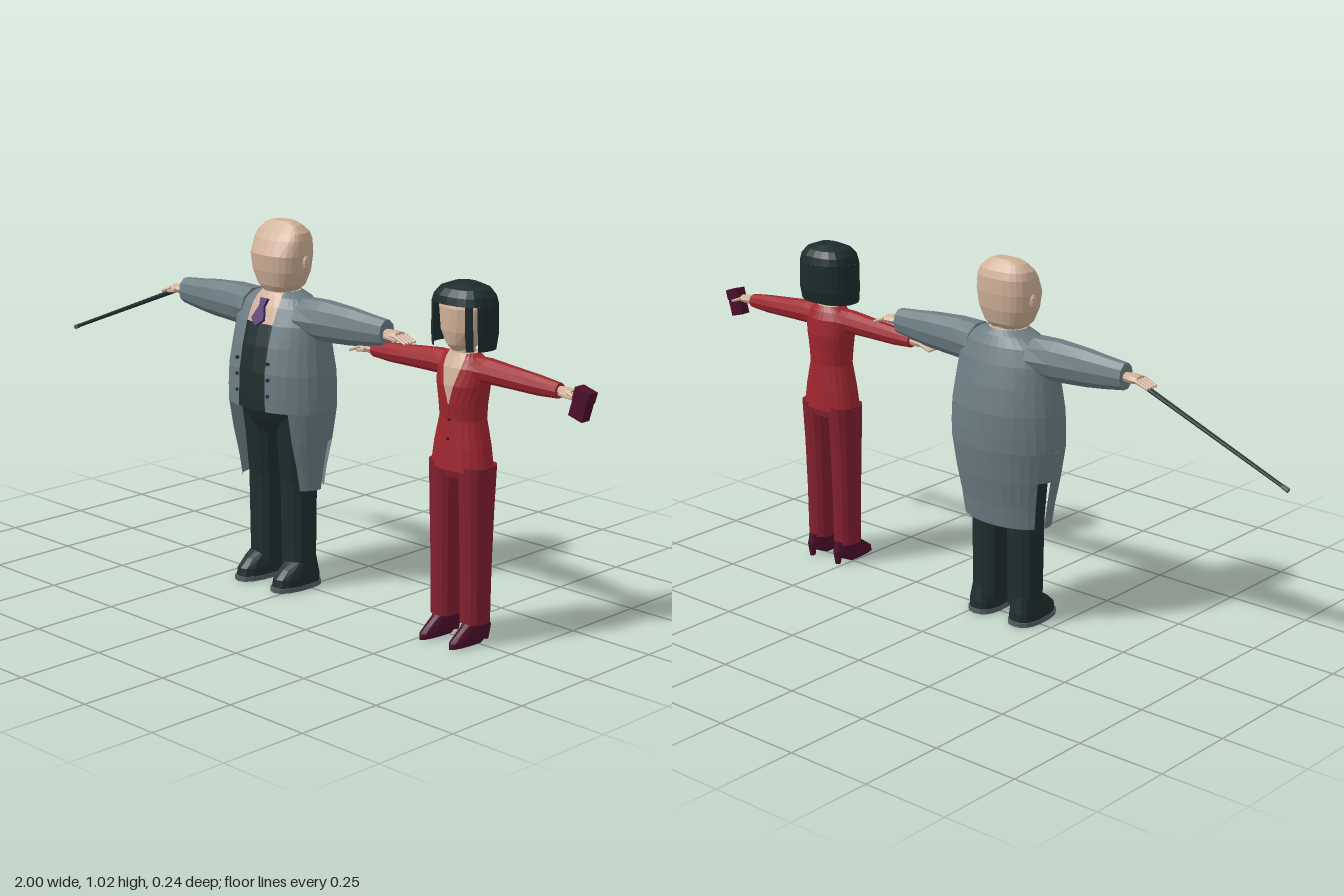
import * as THREE from 'three';

const mat = (name, color, side = THREE.FrontSide) =>
  Object.assign(new THREE.MeshStandardMaterial({ color, side }), { name });
const TAU = Math.PI * 2;

// Faceted normals
function facet(geo) {
  const g = geo.index ? geo.toNonIndexed() : geo;
  g.computeVertexNormals();
  return g;
}

// Stack of oval sections [y, halfWidth, frontDepth, backDepth, startAngle, endAngle, xShift]; angle 0 faces +z
function loft(rings, n = 16, power = 1, cap = true) {
  const pos = [], idx = [];
  const bend = v => Math.sign(v) * Math.abs(v) ** power;
  for (const [y, rx, zf, zb = zf, a0 = 0, a1 = TAU, cx = 0] of rings)
    for (let j = 0; j <= n; j++) {
      const a = a0 + (a1 - a0) * j / n, c = bend(Math.cos(a));
      pos.push(cx + rx * bend(Math.sin(a)), y, c * (c > 0 ? zf : zb));
    }
  const w = n + 1, last = rings.length - 1;
  for (let i = 0; i < last; i++)
    for (let j = 0; j < n; j++) {
      const a = i * w + j, b = a + w;
      idx.push(a, a + 1, b + 1, a, b + 1, b);
    }
  if (cap) {
    const c = pos.length / 3;
    pos.push(rings[0][6] || 0, rings[0][0], 0, rings[last][6] || 0, rings[last][0], 0);
    for (let j = 0; j < n; j++) idx.push(c, j + 1, j, c + 1, last * w + j, last * w + j + 1);
  }
  const g = new THREE.BufferGeometry();
  g.setAttribute('position', new THREE.Float32BufferAttribute(pos, 3));
  g.setIndex(idx);
  return facet(g);
}

function add(parent, name, geo, material, x = 0, y = 0, z = 0) {
  const m = new THREE.Mesh(geo, material);
  m.name = name;
  m.position.set(x, y, z);
  parent.add(m);
  return m;
}

// Opens a section at the front by a half-width
const open = (r, hw) => {
  const g = Math.asin(Math.min(1, hw / r[1]));
  return [...r, g, TAU - g];
};
const shrink = (r, s) => [r[0], r[1] * s, r[2] * s, r[3] * s];

// Sleeve and hand along +x; side -1 turns it to the other arm
function arm(parent, side, y, sections, cloth, skin, handLen, handW) {
  const g = new THREE.Group();
  g.name = side > 0 ? 'leftArm' : 'rightArm';
  g.position.y = y;
  g.rotation.y = side > 0 ? 0 : Math.PI;
  parent.add(g);
  add(g, 'sleeve', loft(sections.map(([x, ry, rz, dy = 0]) => [x, ry, rz, rz, 0, TAU, -dy]), 10).rotateZ(-Math.PI / 2), cloth);
  const end = sections[sections.length - 1], wrist = end[0];
  const hand = new THREE.Group();
  hand.name = 'hand';
  hand.position.set(wrist, end[3] || 0, 0);
  g.add(hand);
  const palm = handLen * 0.55;
  add(hand, 'palm', loft([[-0.01, 0.012, handW * 0.5], [palm * 0.5, 0.014, handW * 0.8], [palm, 0.011, handW * 0.85]], 8).rotateZ(-Math.PI / 2), skin);
  for (let i = 0; i < 4; i++) {
    const f = add(hand, 'finger', facet(new THREE.CylinderGeometry(0.004, 0.006, handLen * 0.5, 6)), skin,
      palm + handLen * 0.2, -0.006, (i - 1.5) * handW * 0.45);
    f.rotation.z = -Math.PI / 2 - 0.35;
  }
  const t = add(hand, 'thumb', facet(new THREE.CylinderGeometry(0.004, 0.006, handLen * 0.45, 6)), skin,
    palm * 0.75, -0.005, side * handW * 0.95);
  t.rotation.set(side * 0.6, 0, -Math.PI / 2 - 0.25);
}

export function createModel() {
  const skin = mat('skin', 0xd0b098), grey = mat('coatGrey', 0x6c7d83, THREE.DoubleSide);
  const dark = mat('darkCloth', 0x1f2e2e), hairMat = mat('hairDark', 0x1c2c2c, THREE.DoubleSide);
  const red = mat('jacketRed', 0xa0262f, THREE.DoubleSide), deepRed = mat('trouserRed', 0x832030);
  const wine = mat('wine', 0x4c0f2a), purple = mat('tiePurple', 0x4a2468), sole = mat('soleGrey', 0x566064);
  const model = new THREE.Group();
  model.name = 'couple';

  // ---------- Man ----------
  const man = new THREE.Group();
  man.name = 'man';
  man.position.x = -0.095;
  model.add(man);
  add(man, 'head', loft([
    [0.832, 0.045, 0.045, 0.035], [0.85, 0.066, 0.056, 0.05], [0.89, 0.083, 0.066, 0.061], [0.935, 0.089, 0.07, 0.066],
    [0.975, 0.086, 0.05, 0.065], [0.995, 0.079, 0.036, 0.058], [1.013, 0.06, 0.018, 0.04], [1.022, 0.038, 0.01, 0.03]], 24, 0.75), skin);
  add(man, 'neck', loft([[0.79, 0.05, 0.045], [0.85, 0.045, 0.04]], 12), skin);
  for (const s of [-1, 1]) {
    const ear = add(man, 'ear', facet(new THREE.SphereGeometry(1, 8, 6)), skin, s * 0.088, 0.915, -0.005);
    ear.scale.set(0.008, 0.022, 0.014);
  }

  // Tailcoat body, open at the front
  const body = [[0.515, 0.175, 0.122, 0.121], [0.56, 0.175, 0.122, 0.122], [0.62, 0.172, 0.12, 0.121], [0.69, 0.162, 0.107, 0.108],
    [0.75, 0.155, 0.09, 0.092], [0.795, 0.135, 0.07, 0.077], [0.82, 0.095, 0.055, 0.065], [0.835, 0.056, 0.045, 0.05]];
  const gap = [0.052, 0.05, 0.05, 0.05, 0.05, 0.05, 0.046, 0.04];
  add(man, 'coat', loft(body.map((r, i) => open(r, gap[i])), 28, 1, false), grey);
  add(man, 'vest', loft(body.slice(0, 5).map(r => shrink(r, 0.965)), 24), dark);
  add(man, 'shirt', loft(body.slice(4).map(r => shrink(r, 0.955)), 24), skin);

  // Coat tails: front panel and back panel, split by slits at the sides
  const tail = [[0.29, 0.14, 0.08, 0.08], [0.35, 0.148, 0.09, 0.09], [0.43, 0.163, 0.108, 0.108], [0.515, 0.175, 0.122, 0.121]];
  for (const s of [-1, 1]) {
    add(man, 'coatFrontPanel', loft(tail.map(r => {
      const a = Math.asin(0.115 / r[1]);
      return s > 0 ? [...r, a, 1.72] : [...r, -1.72, -a];
    }), 6, 1, false), grey);
    add(man, 'coatSideUpper', loft(tail.slice(2).map(r => s > 0 ? [...r, 1.72, 2.05] : [...r, -2.05, -1.72]), 2, 1, false), grey);
    // Lapels
    add(man, 'lapel', loft(body.slice(2).map((r, i) => {
      const a = Math.asin(Math.min(1, gap[i + 2] / r[1])), w = [0.02, 0.18, 0.28, 0.35, 0.4, 0.4][i];
      const q = shrink(r, 1.02);
      return s > 0 ? [...q, a, a + w] : [...q, -a - w, -a];
    }), 3, 1, false), grey);
    // Buttons
    for (const y of [0.56, 0.605, 0.65]) {
      const b = add(man, 'button', facet(new THREE.CylinderGeometry(0.005, 0.005, 0.006, 8)), dark, s * 0.06, y, 0.114);
      b.rotation.x = Math.PI / 2;
    }
    // Legs and shoes
    add(man, 'trouserLeg', loft([[0.05, 0.047, 0.042, 0.045], [0.3, 0.049, 0.047, 0.048], [0.42, 0.055, 0.06, 0.065], [0.5, 0.055, 0.075, 0.08]], 14, 0.85), dark, s * 0.063);
    add(man, 'shoe', loft([[0.012, 0.043, 0.1, 0.057], [0.035, 0.042, 0.096, 0.056], [0.058, 0.038, 0.07, 0.052], [0.08, 0.034, 0.035, 0.048]], 16, 0.85), dark, s * 0.072);
    add(man, 'shoeSole', loft([[0, 0.045, 0.106, 0.061], [0.013, 0.045, 0.106, 0.061]], 16, 0.85), sole, s * 0.072);
    arm(man, s, 0.77, [[0.1, 0.055, 0.062, 0], [0.17, 0.058, 0.05, 0], [0.27, 0.052, 0.04, 0], [0.33, 0.045, 0.034, 0], [0.395, 0.037, 0.029, 0.002]],
      grey, skin, 0.085, 0.027);
  }
  add(man, 'coatBackPanel', loft(tail.map(r => [...r, 2.05, TAU - 2.05]), 12, 1, false), grey);
  add(man, 'trouserHips', loft([[0.44, 0.112, 0.06, 0.07], [0.48, 0.122, 0.085, 0.09], [0.52, 0.14, 0.105, 0.105]], 18), dark);

  // Necktie
  const tie = new THREE.Shape([[-0.014, 0.035], [0.014, 0.035], [0.009, 0.012], [0.024, -0.025], [0, -0.045], [-0.024, -0.025], [-0.009, 0.012]]
    .map(p => new THREE.Vector2(...p)));
  add(man, 'necktie', new THREE.ExtrudeGeometry(tie, { depth: 0.008, bevelEnabled: false }), purple, 0, 0.783, 0.077).rotation.x = -0.45;

  // Walking cane
  const top = new THREE.Vector3(-0.515, 0.772, 0), tip = new THREE.Vector3(-0.998, 0.582, 0);
  const dir = top.clone().sub(tip), mid = top.clone().add(tip).multiplyScalar(0.5);
  const cane = add(model, 'cane', facet(new THREE.CylinderGeometry(0.007, 0.005, dir.length(), 8)), dark, ...mid);
  cane.quaternion.setFromUnitVectors(new THREE.Vector3(0, 1, 0), dir.clone().normalize());
  const ferrule = add(model, 'caneTip', facet(new THREE.CylinderGeometry(0.0065, 0.0065, 0.018, 8)), sole, -0.99, 0.585, 0);
  ferrule.quaternion.copy(cane.quaternion);

  // ---------- Woman ----------
  const woman = new THREE.Group();
  woman.name = 'woman';
  woman.position.x = 0.572;
  model.add(woman);
  add(woman, 'head', loft([[0.778, 0.022, 0.04, 0.025], [0.795, 0.042, 0.054, 0.045], [0.83, 0.062, 0.061, 0.056], [0.89, 0.072, 0.061, 0.06], [0.925, 0.058, 0.05, 0.05]], 18), skin);
  add(woman, 'neck', loft([[0.75, 0.034, 0.032], [0.8, 0.027, 0.028]], 10), skin);

  // Bob haircut: crown with fringe, back and side locks
  add(woman, 'hairCrown', loft([[0.9, 0.088, 0.071, 0.07], [0.92, 0.082, 0.067, 0.066], [0.938, 0.066, 0.052, 0.055], [0.95, 0.034, 0.025, 0.03]], 20, 0.85), hairMat);
  const bob = [[0.785, 0.09, 0.064, 0.058], [0.82, 0.091, 0.069, 0.069], [0.9, 0.088, 0.071, 0.07]];
  add(woman, 'hairBack', loft(bob.map(r => [...r, 1.02, TAU - 1.02]), 18, 0.85, false), hairMat);
  for (const s of [-1, 1])
    add(woman, 'hairLock', loft(bob.map(r => s > 0 ? [...r, 0.58, 0.86] : [...r, -0.86, -0.58]), 3, 0.85, false), hairMat);

  // Jacket with deep neckline
  const jacket = [[0.468, 0.093, 0.062, 0.062], [0.53, 0.084, 0.058, 0.058], [0.6, 0.067, 0.053, 0.053], [0.64, 0.069, 0.058, 0.055],
    [0.69, 0.077, 0.06, 0.057], [0.735, 0.08, 0.05, 0.052], [0.757, 0.066, 0.04, 0.043], [0.772, 0.042, 0.034, 0.034]];
  const neckline = [0, 0, 0, 0.001, 0.016, 0.029, 0.031, 0.03];
  add(woman, 'jacket', loft(jacket.map((r, i) => open(r, neckline[i])), 24, 1, false), red);
  add(woman, 'chest', loft(jacket.slice(3).map(r => shrink(r, 0.96)), 20), skin);
  add(woman, 'trouserHips', loft([[0.445, 0.085, 0.045, 0.05], [0.5, 0.084, 0.054, 0.054]], 16), deepRed);
  for (const y of [0.55, 0.6]) {
    const b = add(woman, 'button', facet(new THREE.CylinderGeometry(0.004, 0.004, 0.006, 8)), wine, 0, y, y > 0.58 ? 0.053 : 0.057);
    b.rotation.x = Math.PI / 2;
  }
  for (const s of [-1, 1]) {
    add(woman, 'trouserLeg', loft([[0.058, 0.036, 0.038, 0.042], [0.2, 0.037, 0.041, 0.043], [0.35, 0.04, 0.047, 0.047], [0.48, 0.042, 0.052, 0.056]], 14, 0.85), deepRed, s * 0.051);
    add(woman, 'shoe', loft([[0.003, 0.021, 0.098, 0.01], [0.018, 0.026, 0.095, 0.045], [0.04, 0.025, 0.065, 0.056], [0.066, 0.022, 0.028, 0.052]], 14), wine, s * 0.052);
    add(woman, 'shoeHeel', facet(new THREE.CylinderGeometry(0.014, 0.008, 0.04, 8)), wine, s * 0.052, 0.02, -0.044);
    arm(woman, s, 0.733, [[0.04, 0.032, 0.038, 0], [0.085, 0.033, 0.034, 0], [0.17, 0.029, 0.03, -0.004], [0.25, 0.026, 0.025, -0.008], [0.315, 0.02, 0.02, -0.01]],
      red, skin, 0.08, 0.02);
  }

  // Clutch bag in her left hand
  const bag = add(woman, 'clutchBag', facet(new THREE.BoxGeometry(0.044, 0.078, 0.03)), wine, 0.391, 0.705, 0.006);
  bag.rotation.z = -0.28;
  add(bag, 'clutchFlap', facet(new THREE.BoxGeometry(0.046, 0.03, 0.034)), wine, 0, 0.024, 0);
  return model;
}
